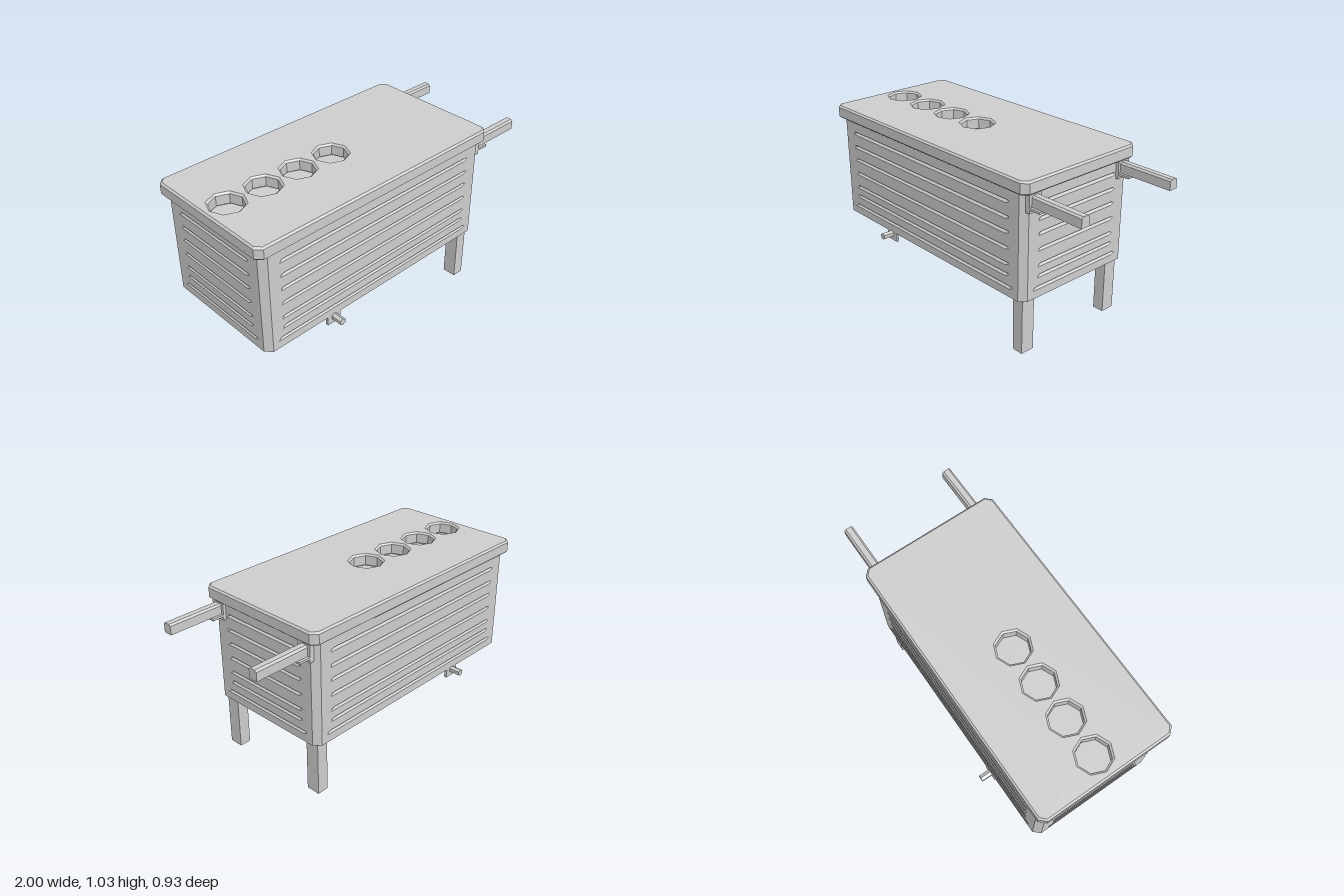
import * as THREE from 'three';

const CENTER_X = -0.158;
const BODY_HX = 0.807, BODY_HZ = 0.397, CHAMFER = 0.036;
const Y0 = 0.335, Y1 = 0.96;
const GROOVES = [0.885, 0.797, 0.713, 0.622, 0.53, 0.466, 0.396];

// Rectangle with cut corners
function cutRect(hx, hy, c) {
  return new THREE.Shape([
    [-hx + c, -hy], [hx - c, -hy], [hx, -hy + c], [hx, hy - c],
    [hx - c, hy], [-hx + c, hy], [-hx, hy - c], [-hx, -hy + c],
  ].map(([x, y]) => new THREE.Vector2(x, y)));
}

// Flat wall with tapered V grooves pressed into it
function groovedWall(halfWidth, grooveHalf) {
  const rows = [[Y1, 0, grooveHalf]];
  GROOVES.forEach((y, i) => {
    const g = i === GROOVES.length - 1 ? grooveHalf + 0.03 : grooveHalf;
    rows.push([y + 0.006, 0, g], [y - 0.001, 0.012, g], [y - 0.014, 0, g]);
  });
  rows.push([Y0, 0, grooveHalf + 0.03]);
  const geo = new THREE.PlaneGeometry(1, 1, 5, rows.length - 1);
  const pos = geo.attributes.position;
  rows.forEach(([y, depth, g], r) => {
    const xs = [-halfWidth, -g, -g + 0.025, g - 0.025, g, halfWidth];
    xs.forEach((x, c) => pos.setXYZ(r * 6 + c, x, y, c === 2 || c === 3 ? -depth : 0));
  });
  const flat = geo.toNonIndexed();
  flat.computeVertexNormals();
  return flat;
}

export function createModel() {
  const model = new THREE.Group();
  model.name = 'coolerChest';
  const grey = new THREE.MeshStandardMaterial({ color: 0xcccccc });
  grey.name = 'lightGrey';

  const add = (parent, name, geo, x = 0, y = 0, z = 0) => {
    const mesh = new THREE.Mesh(geo, grey);
    mesh.name = name;
    mesh.position.set(x, y, z);
    parent.add(mesh);
    return mesh;
  };
  const box = (parent, name, x0, x1, y0, y1, z0, z1) =>
    add(parent, name, new THREE.BoxGeometry(x1 - x0, y1 - y0, Math.abs(z1 - z0)),
      (x0 + x1) / 2, (y0 + y1) / 2, (z0 + z1) / 2);

  // Body: grooved walls, chamfered corners, top and bottom caps
  const body = new THREE.Group();
  body.name = 'body';
  body.position.x = CENTER_X;
  model.add(body);
  const longWall = groovedWall(BODY_HX - CHAMFER, 0.7);
  const endWall = groovedWall(BODY_HZ - CHAMFER, 0.29);
  for (let i = 0; i < 4; i++) {
    const a = i * Math.PI / 2, long = i % 2 === 0;
    const wall = add(body, long ? 'sideWall' : 'endWall', long ? longWall : endWall,
      Math.sin(a) * BODY_HX, 0, Math.cos(a) * BODY_HZ);
    wall.rotation.y = a;
    const b = a + Math.PI / 4;
    const corner = add(body, 'cornerStrip', new THREE.PlaneGeometry(CHAMFER * Math.SQRT2, Y1 - Y0),
      Math.sign(Math.sin(b)) * (BODY_HX - CHAMFER / 2), (Y0 + Y1) / 2,
      Math.sign(Math.cos(b)) * (BODY_HZ - CHAMFER / 2));
    corner.rotation.y = b;
  }
  const cap = cutRect(BODY_HX, BODY_HZ, CHAMFER);
  add(body, 'bodyTop', new THREE.ShapeGeometry(cap).rotateX(-Math.PI / 2), 0, Y1);
  add(body, 'bodyBottom', new THREE.ShapeGeometry(cap).rotateX(Math.PI / 2), 0, Y0);
  const inset = new THREE.ExtrudeGeometry(cutRect(BODY_HX - 0.05, BODY_HZ - 0.05, 0.02),
    { depth: 0.003, bevelEnabled: false });
  add(body, 'floorPanel', inset.rotateX(-Math.PI / 2), 0, Y0 - 0.002);

  // Lid with a row of octagonal cup holes
  const lidShape = cutRect(0.84, 0.422, 0.035);
  for (let i = 0; i < 4; i++) {
    const cx = -0.7 + i * 0.235, pts = [];
    for (let k = 0; k < 8; k++) {
      const a = -k * Math.PI / 4;
      pts.push(new THREE.Vector2(cx + 0.096 * Math.cos(a), 0.096 * Math.sin(a)));
    }
    lidShape.holes.push(new THREE.Path(pts));
  }
  const lid = new THREE.ExtrudeGeometry(lidShape, {
    depth: 0.057, bevelEnabled: true, bevelSegments: 1,
    bevelThickness: 0.01, bevelSize: 0.011, bevelOffset: -0.011,
  });
  add(model, 'lid', lid.rotateX(-Math.PI / 2), -0.16, 0.966);

  // Handle bar cross-section with a chamfered top
  const barShape = new THREE.Shape([
    [-0.027, 0.886], [0.027, 0.886], [0.027, 0.937], [0.016, 0.947], [-0.016, 0.947], [-0.027, 0.937],
  ].map(([x, y]) => new THREE.Vector2(x, y)));
  const bar = new THREE.ExtrudeGeometry(barShape, { depth: 0.35, bevelEnabled: false }).rotateY(Math.PI / 2);

  // Mirrored fittings
  for (const s of [1, -1]) {
    box(model, 'leg', 0.55, 0.62, 0, Y0 + 0.002, s * 0.284, s * 0.369);

    const handle = new THREE.Group();
    handle.name = 'handle';
    model.add(handle);
    add(handle, 'handleBar', bar, 0.65, 0, s * 0.334);
    box(handle, 'handleBracket', 0.64, 0.667, 0.852, 0.96, s * 0.291, s * 0.377);
    box(handle, 'handleLedge', 0.66, 0.738, 0.874, 0.887, s * 0.291, s * 0.377);

    // Axle stub and its plate
    box(model, 'axlePlate', -0.552, -0.46, 0.28, Y0 + 0.001, s * 0.379, s * 0.396);
    const axle = new THREE.CylinderGeometry(0.021, 0.021, 0.085, 6).toNonIndexed();
    axle.computeVertexNormals();
    add(model, 'axle', axle.rotateX(Math.PI / 2), -0.507, 0.322, s * 0.4215);
  }
  return model;
}
